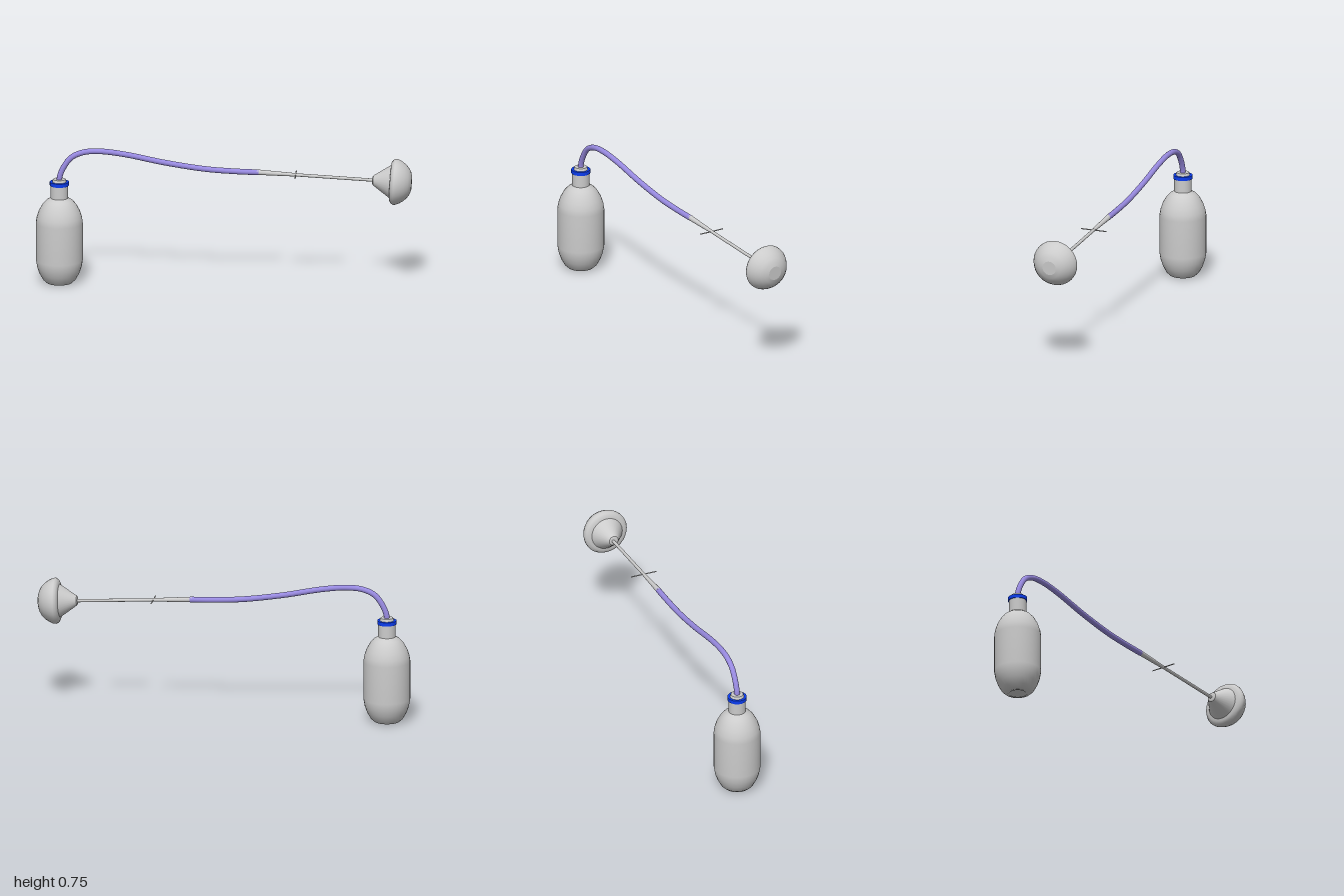
import * as THREE from 'three';

const material = (color = 0xcccccc) =>
  new THREE.MeshStandardMaterial({ color, side: THREE.DoubleSide });
const grey = material();
const purple = material(0x988ae0);
const blue = material(0x0a3cf0);

function part(name, geometry, mat, parent) {
  const mesh = new THREE.Mesh(geometry, mat);
  mesh.name = name;
  parent.add(mesh);
  return mesh;
}

// Surface of revolution from [radius, height] pairs, listed bottom to top
const lathe = (pairs, sides = 32) =>
  new THREE.LatheGeometry(pairs.map(([r, y]) => new THREE.Vector2(r, y)), sides);

export function createModel() {
  const model = new THREE.Group();

  // Upright bottle with rounded base and shoulder
  const bottle = new THREE.Group();
  bottle.name = 'bottle';
  bottle.position.x = -0.875;
  model.add(bottle);
  part('bottleBody', lathe([
    [0.05, 0.002], [0.068, 0.005], [0.087, 0.022], [0.106, 0.056], [0.118, 0.09],
    [0.125, 0.13], [0.125, 0.335], [0.12, 0.367], [0.109, 0.4], [0.09, 0.435],
    [0.07, 0.457], [0.046, 0.472],
  ]), grey, bottle);
  part('bottleBase', lathe([[0, 0.008], [0.038, 0.008], [0.044, 0], [0.052, 0.002]]), grey, bottle);
  part('bottleNeck', new THREE.CylinderGeometry(0.046, 0.046, 0.09, 32), grey, bottle)
    .position.y = 0.505;
  part('neckBand', new THREE.CylinderGeometry(0.051, 0.051, 0.02, 32), blue, bottle)
    .position.y = 0.551;
  part('stopper', new THREE.CylinderGeometry(0.033, 0.038, 0.016, 32), grey, bottle)
    .position.y = 0.567;

  // Flexible hose arching out of the bottle
  const path = new THREE.CatmullRomCurve3([
    [-0.875, 0.565], [-0.873, 0.59], [-0.853, 0.64], [-0.81, 0.697], [-0.745, 0.726],
    [-0.655, 0.732], [-0.527, 0.717], [-0.313, 0.674], [-0.1, 0.642], [0.06, 0.631],
    [0.185, 0.627],
  ].map(([x, y]) => new THREE.Vector3(x, y, 0)));
  part('hose', new THREE.TubeGeometry(path, 80, 0.015, 14), purple, model);

  // Rod assembly: local +y runs along the rod away from the hose
  const wand = new THREE.Group();
  wand.name = 'wand';
  wand.position.set(0.175, 0.628, 0);
  wand.rotation.z = -Math.PI / 2 - 0.058;
  model.add(wand);
  part('connector', new THREE.CylinderGeometry(0.009, 0.0145, 0.21, 20), grey, wand)
    .position.y = 0.105;
  part('rod', new THREE.CylinderGeometry(0.0085, 0.0085, 0.43, 16), grey, wand)
    .position.y = 0.415;

  // Thin crossbar
  const bar = part('crossbar', new THREE.CylinderGeometry(0.003, 0.003, 0.144, 10), grey, wand);
  bar.position.y = 0.208;
  bar.rotation.x = Math.PI / 2;

  // Flared cone and rounded head
  const head = new THREE.Group();
  head.name = 'head';
  head.position.set(0, 0.617, 0.004);
  wand.add(head);
  part('coneEnd', lathe([[0, 0], [0.02, 0], [0.026, 0.004]]), grey, head);
  part('cone', lathe([[0.026, 0.004], [0.092, 0.1]]), grey, head);
  part('headDome', lathe([
    [0.085, 0.094], [0.102, 0.096], [0.116, 0.104], [0.123, 0.116], [0.122, 0.129],
    [0.114, 0.148], [0.1, 0.17], [0.08, 0.19], [0.06, 0.202], [0.038, 0.209],
  ]), grey, head);
  part('headFace', lathe([[0.038, 0.209], [0, 0.209]]), grey, head);

  return model;
}
